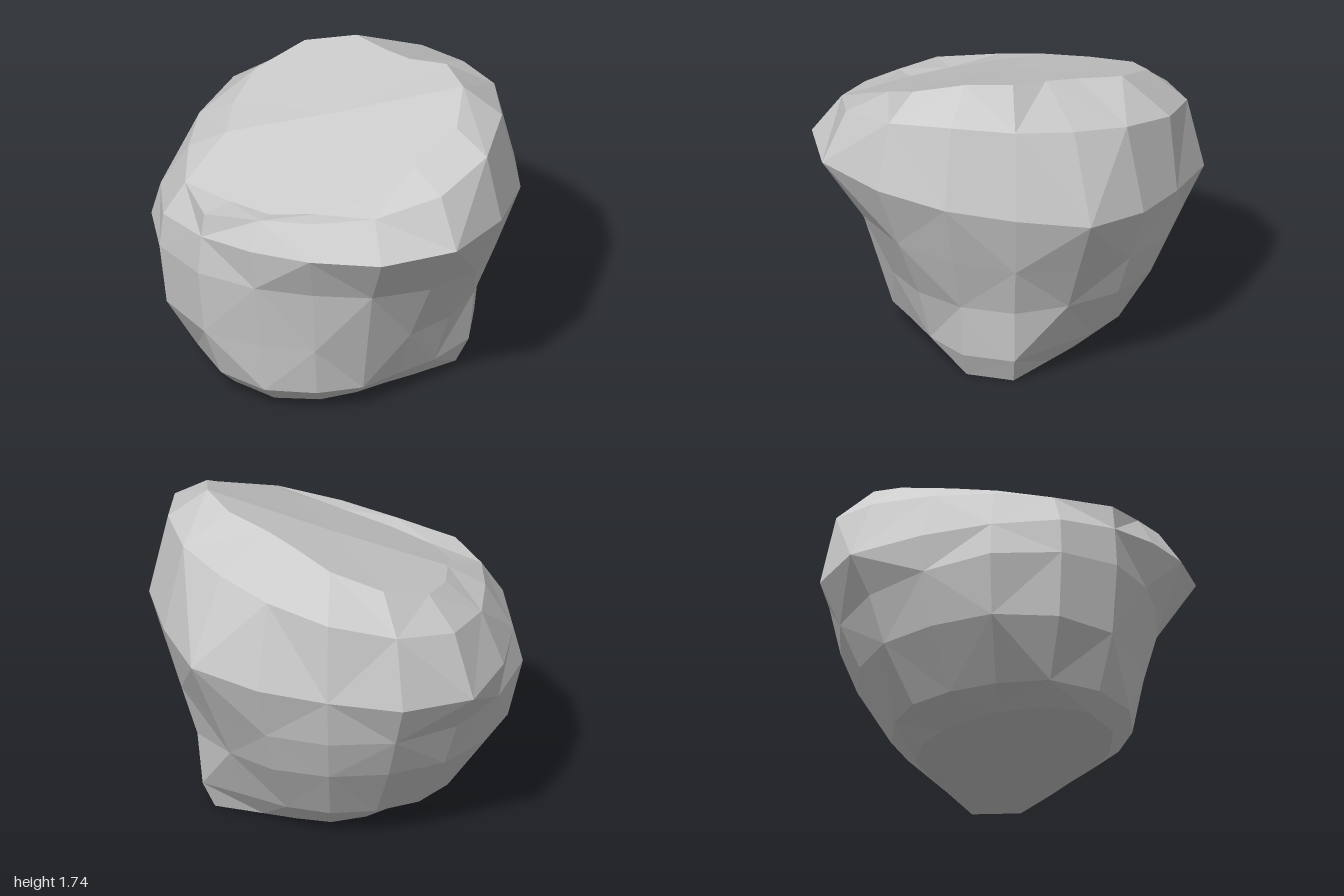
import * as THREE from 'three';

const SIDES = 16; // radii start at +x and turn towards +z

// Cross-sections from base to crown: height at the axis, slope along x and z,
// extra drop towards the front, radii
const rings = [
  { y: 0.035, kx: -0.05, r: [.64, .48, .43, .46, .54, .63, .67, .6, .52, .46, .46, .48, .5, .48, .52, .68] },
  { y: 0.15, r: [.71, .61, .56, .61, .66, .73, .76, .76, .69, .66, .66, .64, .63, .61, .62, .75] },
  { y: 0.45, r: [.74, .7, .67, .7, .72, .77, .87, .93, .92, .87, .86, .83, .81, .79, .76, .78] },
  { y: 0.77, kz: .1, r: [.86, .87, .85, .82, .79, .83, .91, .97, 1, .96, .96, .94, .9, .88, .88, .87] },
  { y: 1.05, kx: .09, kz: .1, r: [.99, 1.03, 1.09, 1.04, .92, .87, .89, .95, .95, .99, 1.09, 1.05, .96, .98, 1.04, .97] },
  { y: 1.39, kx: .22, front: .1, r: [.89, .94, .95, .88, .8, .78, .87, .83, .8, .86, .94, .96, .92, .86, .83, .86] },
  { y: 1.52, kx: .33, kz: -.1, front: .2, r: [.68, .75, .7, .74, .7, .69, .7, .65, .6, .65, .74, .75, .65, .5, .48, .6] },
];

function ringPoints({ y, kx = 0, kz = 0, front = 0, r }) {
  return r.map((radius, i) => {
    const a = (i / SIDES) * Math.PI * 2;
    const x = radius * Math.cos(a);
    const z = radius * Math.sin(a);
    return [x, y + kx * x + kz * z - front * Math.max(z, 0), z];
  });
}

function boulderGeometry() {
  const loops = rings.map(ringPoints);
  const pos = [];
  const tri = (a, b, c) => pos.push(...a, ...b, ...c);
  const baseCentre = [0, 0.035, 0];
  const crownCentre = [0, 1.51, 0];
  const top = loops[loops.length - 1];

  for (let i = 0; i < SIDES; i++) {
    const j = (i + 1) % SIDES;
    // Side facets, with alternating diagonals for a chiselled look
    for (let k = 0; k < loops.length - 1; k++) {
      const a = loops[k][i], b = loops[k][j];
      const A = loops[k + 1][i], B = loops[k + 1][j];
      if ((i + k) % 2) {
        tri(b, a, A);
        tri(b, A, B);
      } else {
        tri(b, a, B);
        tri(a, A, B);
      }
    }
    // Underside and sloping crown
    tri(baseCentre, loops[0][i], loops[0][j]);
    tri(crownCentre, top[j], top[i]);
  }

  const geometry = new THREE.BufferGeometry();
  geometry.setAttribute('position', new THREE.Float32BufferAttribute(pos, 3));
  geometry.computeVertexNormals();
  return geometry;
}

export function createModel() {
  const group = new THREE.Group();
  group.name = 'rock';
  const material = new THREE.MeshStandardMaterial({ color: 0xcccccc, flatShading: true });
  const boulder = new THREE.Mesh(boulderGeometry(), material);
  boulder.name = 'boulder';
  group.add(boulder);
  return group;
}
